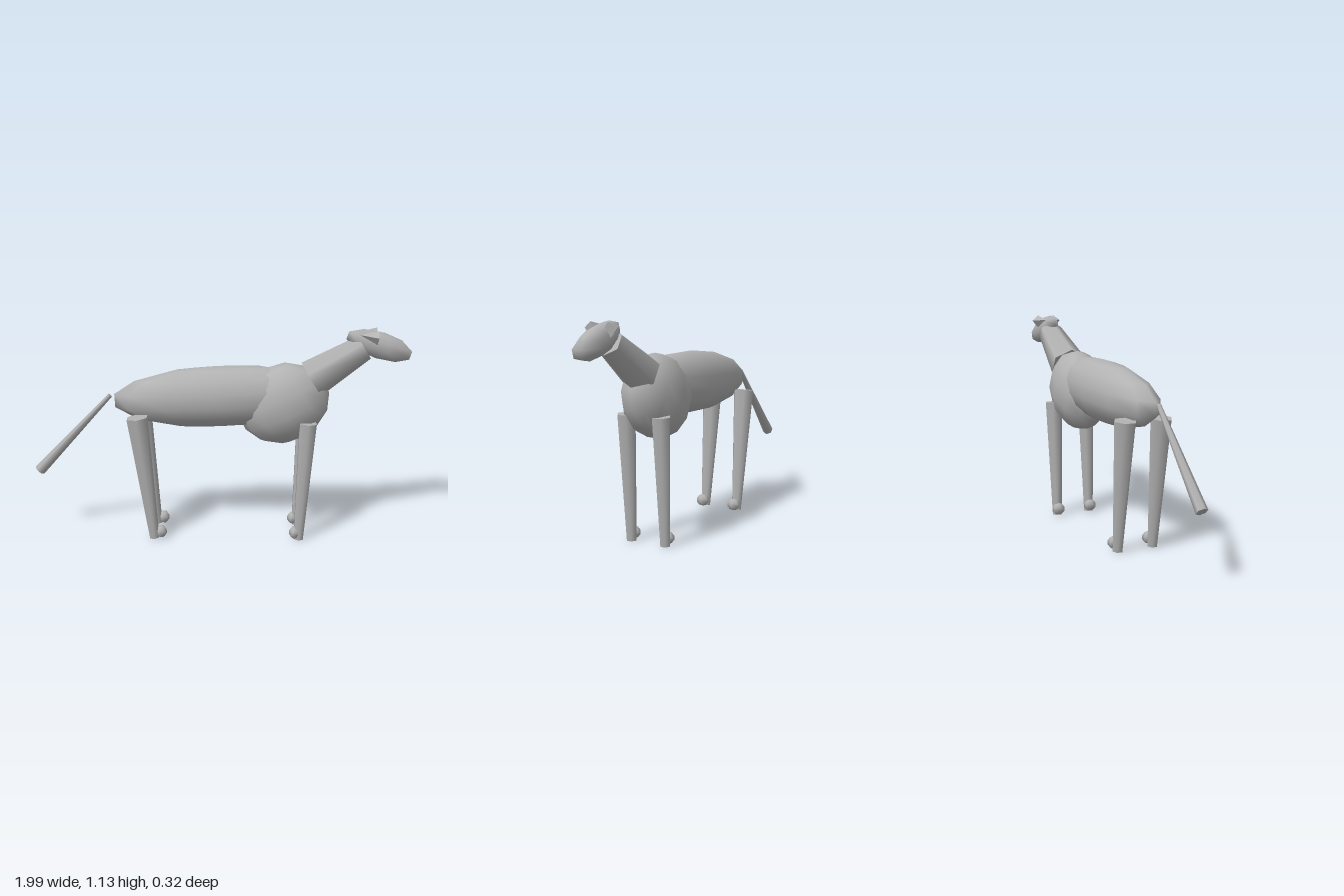
import * as THREE from 'three';

const grey = new THREE.MeshStandardMaterial({ color: 0xb2b2b2 });
grey.name = 'plain grey';

export function createModel() {
  const model = new THREE.Group();
  model.name = 'fourLeggedAnimal';

  function add(name, geometry) {
    const mesh = new THREE.Mesh(geometry, grey);
    mesh.name = name;
    model.add(mesh);
    return mesh;
  }

  // Stretched low-poly sphere, tilted about z
  function ellipsoid(name, centre, radii, tilt, sides, rings) {
    const mesh = add(name, new THREE.SphereGeometry(1, sides, rings));
    mesh.scale.set(...radii);
    mesh.position.set(...centre);
    mesh.rotation.z = tilt;
    return mesh;
  }

  // Tapered six-sided limb from one point to another
  function limb(name, from, to, rFrom, rTo, spin = 0) {
    const a = new THREE.Vector3(...from);
    const b = new THREE.Vector3(...to);
    const axis = b.clone().sub(a);
    const geometry = new THREE.CylinderGeometry(rTo, rFrom, axis.length(), 6);
    geometry.rotateY(spin);
    const mesh = add(name, geometry);
    mesh.position.copy(a).add(b).multiplyScalar(0.5);
    mesh.quaternion.setFromUnitVectors(new THREE.Vector3(0, 1, 0), axis.normalize());
    return mesh;
  }

  // Trunk
  ellipsoid('body', [0, 0.775, 0], [0.572, 0.164, 0.133], 0.05, 12, 7);
  ellipsoid('chest', [0.335, 0.738, 0], [0.248, 0.212, 0.149], 0.44, 12, 7);

  // Neck, head and tail, each with an edge along the centre line
  limb('neck', [0.48, 0.87, 0], [0.745, 1.04, 0], 0.104, 0.07, Math.PI / 6);
  ellipsoid('head', [0.828, 1.05, 0], [0.188, 0.07, 0.057], -0.3, 7, 5);
  limb('tail', [-0.58, 0.777, 0], [-0.978, 0.352, 0], 0.012, 0.03, Math.PI / 6);

  for (const [side, s] of [['left', -1], ['right', 1]]) {
    const z = 0.1 * s;

    // Legs and feet
    limb(side + 'FrontLeg', [0.426, 0.004, z], [0.46, 0.66, z], 0.028, 0.05);
    limb(side + 'RearLeg', [-0.352, 0.006, z], [-0.43, 0.685, z], 0.028, 0.06);
    ellipsoid(side + 'FrontFoot', [0.405, 0.041, z], [0.03, 0.034, 0.038], 0, 6, 5);
    ellipsoid(side + 'RearFoot', [-0.315, 0.041, z], [0.03, 0.034, 0.038], 0, 6, 5);

    // Ears: four-sided cones opening forward
    limb(side + 'Ear', [0.81, 1.1, 0.052 * s], [0.715, 1.113, 0.04 * s], 0.036, 0).geometry =
      new THREE.ConeGeometry(0.036, 0.097, 4).toNonIndexed();
  }
  model.traverse((part) => {
    if (part.name.endsWith('Ear')) part.geometry.computeVertexNormals();
  });
  return model;
}
